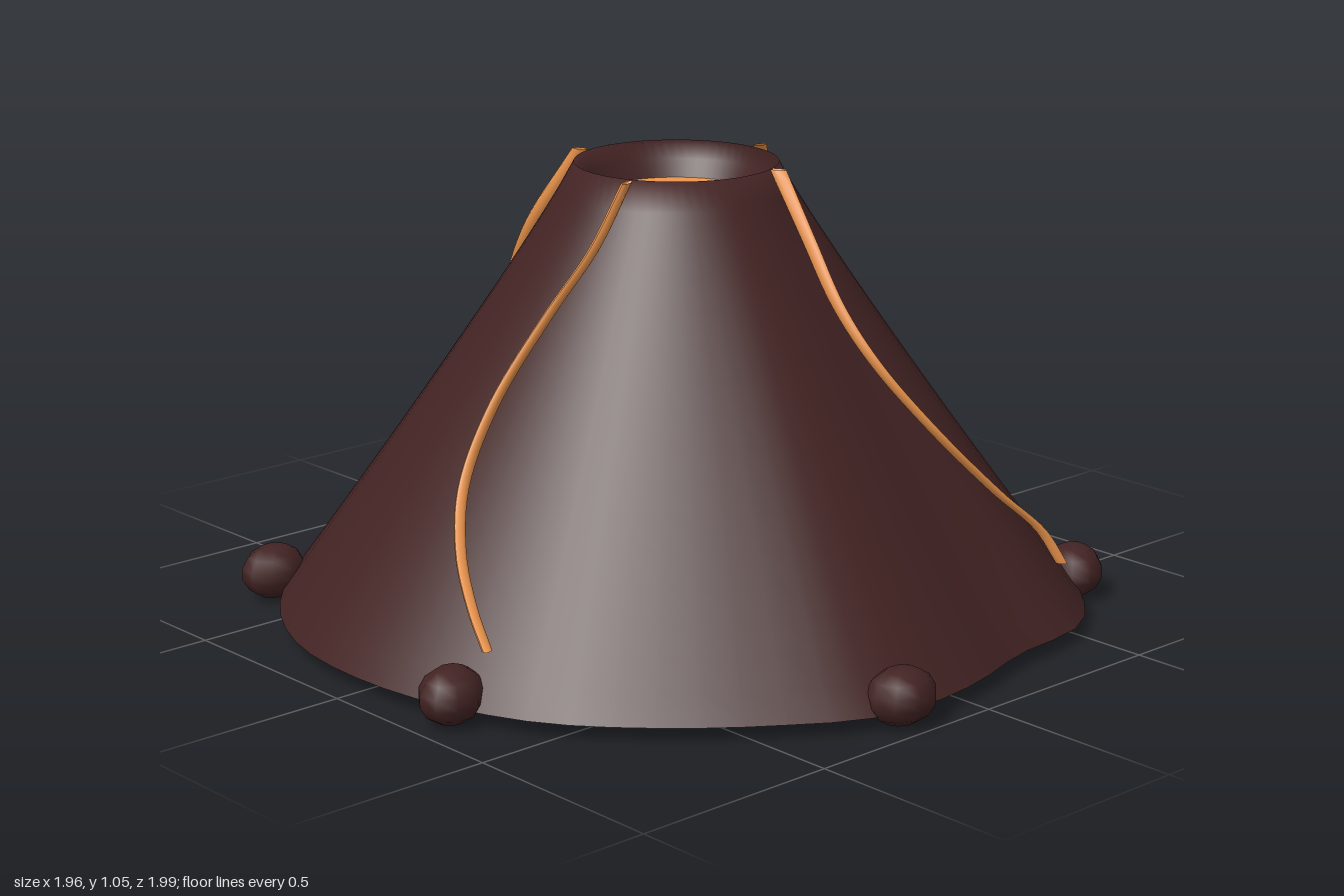
import * as THREE from 'three';
import { mergeVertices } from 'three/addons/utils/BufferGeometryUtils.js';

const rock = new THREE.MeshStandardMaterial({ color: 0x432323, side: THREE.DoubleSide });
rock.name = 'darkRock';
const lava = new THREE.MeshStandardMaterial({ color: 0xe8924a, side: THREE.DoubleSide });
lava.name = 'orangeLava';

const BASE_Y = 0.04, TOP_Y = 1.06, RIM = 0.235, FOOT = 0.95;

// Foot radius every 15 degrees, starting at +x and turning towards +z
const footRadii = [
  0.94, 0.922, 0.933, 0.95, 0.968, 0.908, 0.94, 0.974, 0.945, 0.938, 0.95, 0.947,
  0.946, 0.95, 0.938, 0.922, 0.93, 0.956, 0.947, 0.938, 0.925, 0.915, 0.918, 0.935, 0.94,
];
const footCurve = new THREE.SplineCurve(footRadii.map((r, i) => new THREE.Vector2(i, r)));

function footRadius(x, z) {
  const turn = Math.atan2(z, x) / (Math.PI * 2);
  return footCurve.getPoint((turn + 1) % 1).y;
}

function addMesh(parent, name, geometry, material) {
  const mesh = new THREE.Mesh(geometry, material);
  mesh.name = name;
  parent.add(mesh);
  return mesh;
}

// Slightly concave cone with an uneven foot and a crater lip, open underneath
function coneGeometry() {
  const profile = [];
  for (let i = 0; i <= 16; i++) {
    const t = i / 16;
    profile.push(new THREE.Vector2(
      RIM + (FOOT - RIM) * Math.pow(1 - t, 1.07), BASE_Y + (TOP_Y - BASE_Y) * t));
  }
  profile.push(new THREE.Vector2(0.21, 1.02), new THREE.Vector2(0.185, 0.975));
  let geo = new THREE.LatheGeometry(profile, 64);
  const pos = geo.attributes.position;
  for (let i = 0; i < pos.count; i++) {
    const x = pos.getX(i), z = pos.getZ(i), r = Math.hypot(x, z);
    if (r <= RIM) continue;
    const k = (RIM + (r - RIM) * (footRadius(x, z) - RIM) / (FOOT - RIM)) / r;
    pos.setXYZ(i, x * k, pos.getY(i), z * k);
  }
  // Weld the seam so the shading is continuous
  geo.deleteAttribute('uv');
  geo.deleteAttribute('normal');
  geo = mergeVertices(geo, 1e-4);
  geo.computeVertexNormals();
  return geo;
}

// Lava streams, from the rim down: x, y, z
const streams = {
  frontLavaStream: [[0.1, 1.06, 0.23], [0.09, 0.92, 0.34], [0.09, 0.78, 0.44], [0.12, 0.66, 0.53],
    [0.21, 0.51, 0.625], [0.35, 0.35, 0.695], [0.45, 0.25, 0.74], [0.49, 0.17, 0.77]],
  leftLavaStream: [[0.265, 1.06, 0], [0.35, 0.92, -0.06], [0.45, 0.78, -0.085], [0.57, 0.6, -0.06],
    [0.7, 0.43, 0.03], [0.8, 0.31, 0.11], [0.9, 0.17, 0.155]],
  backLavaStream: [[-0.075, 1.06, -0.25], [-0.105, 0.86, -0.395], [-0.075, 0.69, -0.51],
    [-0.005, 0.54, -0.62], [0.03, 0.385, -0.74], [0.01, 0.28, -0.83], [-0.075, 0.17, -0.92]],
  rightLavaStream: [[-0.245, 1.06, 0.105], [-0.34, 0.92, 0.1], [-0.445, 0.78, 0.065],
    [-0.58, 0.6, 0.04], [-0.685, 0.44, 0.06], [-0.765, 0.325, 0.145], [-0.82, 0.235, 0.25],
    [-0.85, 0.17, 0.335]],
};

// Tube with level oval rings: narrow sideways, deep outwards, thinner downhill
function streamGeometry(points) {
  const rings = 40, sides = 8;
  const path = new THREE.CatmullRomCurve3(points.map((p) => new THREE.Vector3(...p)));
  const geo = new THREE.TubeGeometry(path, rings, 0.01, sides);
  const pos = geo.attributes.position;
  for (let i = 0; i <= rings; i++) {
    const c = path.getPointAt(i / rings);
    const r = Math.hypot(c.x, c.z), ox = c.x / r, oz = c.z / r;
    const depth = 0.021 - 0.007 * i / rings;
    for (let j = 0; j <= sides; j++) {
      const a = j / sides * Math.PI * 2;
      const out = Math.cos(a) * depth, side = Math.sin(a) * 0.01;
      pos.setXYZ(i * (sides + 1) + j, c.x + ox * out - oz * side, c.y, c.z + oz * out + ox * side);
    }
  }
  geo.computeVertexNormals();
  return geo;
}

// Boulders around the foot: x, z, turn
const boulders = [
  [0.205, -0.925, 0], [0.905, -0.285, 1.1], [0.7, 0.625, 0.7],
  [-0.2, 0.93, 0], [-0.905, 0.28, 0.5], [-0.7, -0.645, 0.3],
];

export function createModel() {
  const model = new THREE.Group();
  model.name = 'volcano';

  addMesh(model, 'cone', coneGeometry(), rock);

  // Shallow bowl of lava inside the crater
  const bowl = [[0.187, 0.98], [0.13, 0.966], [0.065, 0.958], [0, 0.955]]
    .map(([r, y]) => new THREE.Vector2(r, y));
  addMesh(model, 'craterLava', new THREE.LatheGeometry(bowl, 40), lava);

  for (const [name, points] of Object.entries(streams)) {
    addMesh(model, name, streamGeometry(points), lava);
  }

  const boulderGeo = new THREE.SphereGeometry(1, 9, 7).scale(0.087, 0.064, 0.072);
  for (const [x, z, turn] of boulders) {
    const boulder = addMesh(model, 'boulder', boulderGeo, rock);
    boulder.position.set(x, 0.07, z);
    boulder.rotation.y = turn;
  }
  return model;
}
